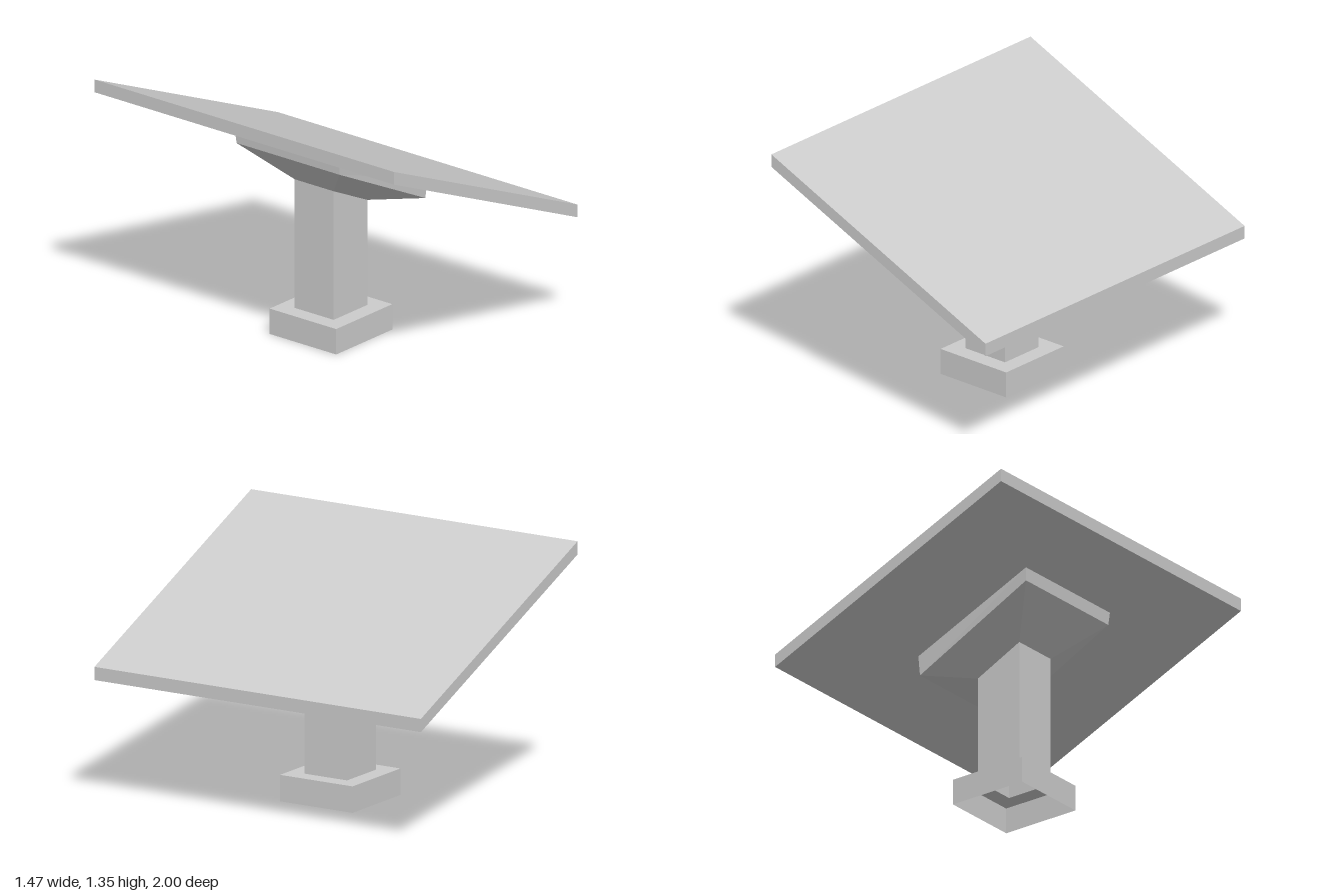
import * as THREE from 'three';

// Four corners of a rectangular ring; height runs from yLeft (at x0) to yRight (at x1)
function ring(x0, x1, yLeft, yRight, z) {
  return [[x0, yLeft, z], [x1, yRight, z], [x1, yRight, -z], [x0, yLeft, -z]];
}

// Flat-faced skin through a stack of rings, optionally closed at the top
function loft(rings, capTop = false) {
  const points = [];
  for (let r = 0; r < rings.length - 1; r++) {
    for (let i = 0; i < 4; i++) {
      const j = (i + 1) % 4;
      const a = rings[r][i], b = rings[r][j], c = rings[r + 1][j], d = rings[r + 1][i];
      points.push(...a, ...b, ...c, ...a, ...c, ...d);
    }
  }
  if (capTop) {
    const [a, b, c, d] = rings[rings.length - 1];
    points.push(...a, ...b, ...c, ...a, ...c, ...d);
  }
  const geometry = new THREE.BufferGeometry();
  geometry.setAttribute('position', new THREE.Float32BufferAttribute(points, 3));
  geometry.computeVertexNormals();
  return geometry;
}

export function createModel() {
  const model = new THREE.Group();
  model.name = 'tiltedPanelOnPost';
  const grey = new THREE.MeshStandardMaterial({ color: 0xcccccc, side: THREE.DoubleSide, flatShading: true });
  grey.name = 'light grey';

  const add = (name, rings, capTop) => {
    const mesh = new THREE.Mesh(loft(rings, capTop), grey);
    mesh.name = name;
    model.add(mesh);
  };

  // Rings shared by neighbouring parts
  const postFoot = ring(-0.175, 0.095, 0.14, 0.14, 0.13);
  const postTop = ring(-0.175, 0.095, 0.85, 0.72, 0.13);
  const bracketTop = ring(-0.39, 0.31, 1.13, 0.827, 0.35);

  // Hollow base, open below, with a hole where the post stands
  add('base', [
    ring(-0.265, 0.185, 0, 0, 0.222),
    ring(-0.265, 0.185, 0.14, 0.14, 0.222),
    postFoot,
  ]);

  // Hollow post, cut at a slant on top
  add('post', [postFoot, postTop]);

  // Flared bracket under the panel
  add('bracket', [postTop, ring(-0.385, 0.305, 1.06, 0.72, 0.343), bracketTop]);

  // Tilted panel: underside around the bracket, rim and top
  add('panel', [
    bracketTop,
    ring(-0.735, 0.735, 1.28, 0.65, 1),
    ring(-0.735, 0.735, 1.35, 0.72, 1),
  ], true);

  return model;
}
